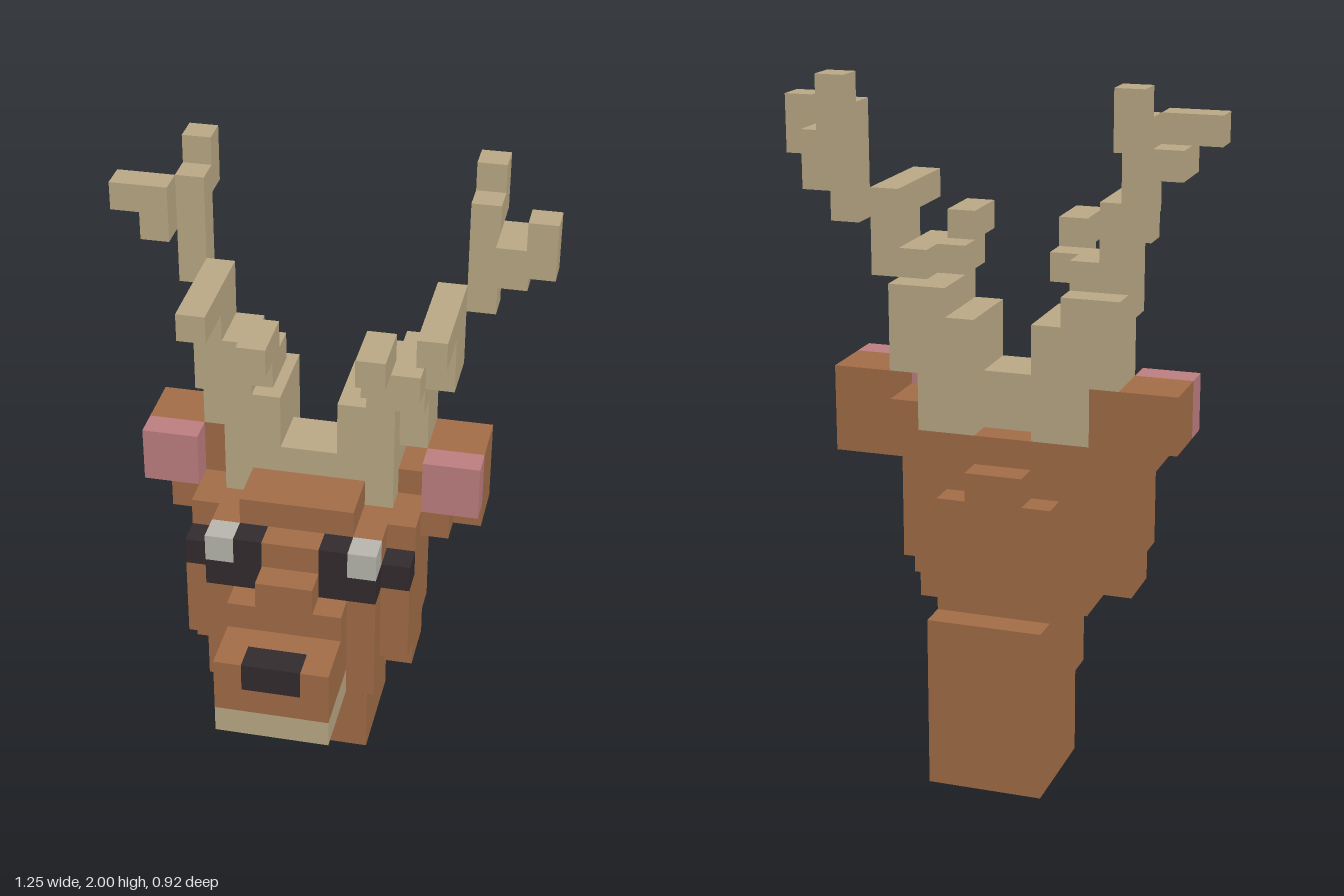
import * as THREE from 'three';
import { mergeGeometries } from 'three/addons/utils/BufferGeometryUtils.js';

const U = 1 / 12; // one block

function material(name, color) {
  const m = new THREE.MeshStandardMaterial({ color });
  m.name = name;
  return m;
}

// Block span [x0, x1, y0, y1, z0, z1] on the block grid (15 wide, 24 high, 11 deep)
function block([x0, x1, y0, y1, z0, z1], grow = 0) {
  const g = new THREE.BoxGeometry((x1 - x0) * U + grow, (y1 - y0) * U + grow, (z1 - z0) * U + grow);
  g.translate(((x0 + x1) / 2 - 7.5) * U, ((y0 + y1) / 2) * U, ((z0 + z1) / 2 - 5.5) * U);
  return g;
}

// Mirror spans about a vertical plane at grid position c
const mirror = (spans, c) => spans.map(([a, b, ...rest]) => [2 * c - b, 2 * c - a, ...rest]);
const HEAD = 7, CENTRE = 7.5;

export function createModel() {
  const group = new THREE.Group();
  const fur = material('brown fur', 0xa46e48);
  const horn = material('tan horn', 0xbdab87);
  const pink = material('pink inner ear', 0xc08082);
  const dark = material('dark eye', 0x342c2f);
  const pale = material('pale grey', 0xbab8b0);

  function part(name, mat, spans, grow = 0) {
    const mesh = new THREE.Mesh(mergeGeometries(spans.map((s) => block(s, grow))), mat);
    mesh.name = name;
    group.add(mesh);
  }

  part('neck', fur, [
    [5, 9, 0, 6, 0, 4],
    [5, 9, 3, 6, 3, 5],
    [5, 9, 5, 6, 4, 7],
  ]);

  part('head', fur, [
    [4, 10, 6, 10, 2, 8],
    [4, 10, 10, 12, 2, 7],
    [6, 8, 10, 12, 6, 8],   // between the eyes
    [5, 9, 6, 10, 1, 3],    // back of the skull
    [6, 8, 10, 11, 1, 3],
    [5, 9, 12, 13, 5, 7],   // forehead
  ]);

  const cheek = [
    [10, 11, 7, 10, 3, 7],
    [10, 11, 10, 11, 3, 6],
    [10, 11, 6, 7, 4, 6],
    [10, 11, 11, 12, 2, 6],
    [10, 12, 11, 12, 2, 5],
  ];
  part('leftCheek', fur, cheek);
  part('rightCheek', fur, mirror(cheek, HEAD));

  // Muzzle
  part('muzzle', fur, [
    [5, 9, 7, 9, 8, 11],
    [5, 9, 9, 10, 8, 9],
    [6, 8, 9, 11, 8, 9],
  ]);
  part('chin', horn, [[5, 9, 6, 7, 8, 11]]);
  part('nose', dark, [[6, 8, 8, 9, 10, 11]], 0.004);

  // Eyes
  const eye = [
    [8, 10, 10, 11, 7, 8],
    [8, 9, 11, 12, 7, 8],
    [10, 11, 10, 11, 6, 7],
  ];
  const glint = [[9, 10, 11, 12, 7, 8]];
  part('leftEye', dark, eye);
  part('rightEye', dark, mirror(eye, HEAD));
  part('leftEyeWhite', pale, glint);
  part('rightEyeWhite', pale, mirror(glint, HEAD));

  // Ears
  part('leftEar', fur, [
    [11, 13, 11, 14, 2, 4],
    [10, 11, 12, 13, 2, 4],
  ]);
  part('rightEar', fur, [
    [1, 4, 12, 14, 2, 4],
    [2, 4, 11, 12, 2, 4],
  ]);
  const innerEar = [[11, 13, 12, 14, 4, 5]];
  part('leftInnerEar', pink, innerEar);
  part('rightInnerEar', pink, mirror(innerEar, HEAD));

  // Antlers
  part('antlerBase', horn, [
    [4, 10, 12, 14, 3, 5],
    [4, 6, 12, 14, 2, 3],
    [8, 10, 12, 14, 2, 3],
  ]);
  const root = [
    [8, 10, 14, 16, 2, 5],
    [10, 11, 14, 16, 2, 4],
    [9, 11, 16, 17, 2, 5],
  ];
  part('leftAntlerRoot', horn, root);
  part('rightAntlerRoot', horn, mirror(root, HEAD));

  const beam = [
    [10, 11, 17, 18, 3, 5],
    [11, 12, 17, 19, 3, 5],
    [11, 12, 19, 20, 3, 7],   // forward prong
    [9, 10, 17, 18, 4, 6],    // inner prong
    [9, 10, 18, 19, 5, 7],
    [12, 13, 19, 23, 2, 3],   // upright
    [12, 13, 22, 24, 1, 2],   // tip
    [13, 14, 21, 22, 2, 4],   // outer prong
  ];
  part('leftAntler', horn, [
    ...beam,
    [10, 11, 17, 18, 4, 6],
    [13, 14, 20, 21, 2, 3],
    [14, 15, 21, 23, 3, 4],
  ]);
  part('rightAntler', horn, [
    ...mirror(beam, CENTRE),
    [0, 2, 22, 23, 3, 4],
  ]);

  return group;
}
